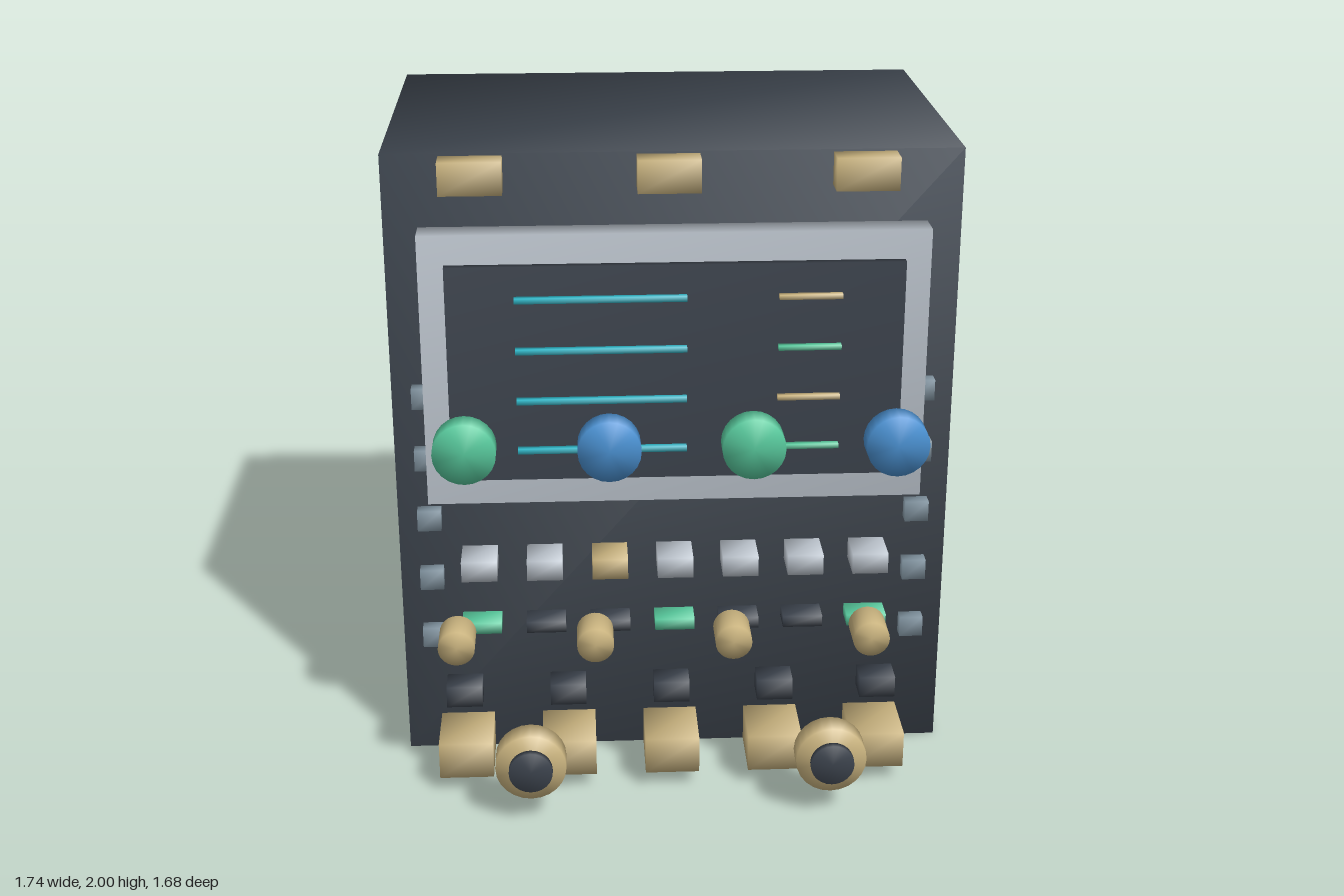
import * as THREE from 'three';
import { mergeVertices } from 'three/addons/utils/BufferGeometryUtils.js';

const mat = (name, color) => {
  const m = new THREE.MeshStandardMaterial({ color });
  m.name = name;
  return m;
};

// Weld corners so the shading runs smoothly over the edges
function soften(geometry) {
  geometry.deleteAttribute('normal');
  geometry.deleteAttribute('uv');
  const g = mergeVertices(geometry, 1e-4);
  g.computeVertexNormals();
  return g;
}

export function createModel() {
  const model = new THREE.Group();
  model.name = 'controlConsole';

  const charcoal = mat('charcoal', 0x434b55);
  const slate = mat('slate', 0x3c434d);
  const silver = mat('silver', 0xbcc4cd);
  const brass = mat('brass', 0xc9b37f);
  const green = mat('green', 0x57c79b);
  const blue = mat('blue', 0x4a90d0);
  const cyan = mat('cyan', 0x2fb5c6);
  const steel = mat('steel', 0x8497a4);

  const add = (name, geometry, material, x, y, z) => {
    const mesh = new THREE.Mesh(soften(geometry), material);
    mesh.name = name;
    mesh.position.set(x, y, z);
    model.add(mesh);
  };
  // Box centred on x, y and running from z0 (back) to z1 (front)
  const box = (name, material, x, y, w, h, z0, z1) =>
    add(name, new THREE.BoxGeometry(w, h, z1 - z0), material, x, y, (z0 + z1) / 2);
  // Disc facing forward
  const disc = (name, material, x, y, r, z0, z1) =>
    add(name, new THREE.CylinderGeometry(r, r, z1 - z0, 24).rotateX(Math.PI / 2),
      material, x, y, (z0 + z1) / 2);

  // Cabinet, bezel and screen
  box('cabinet', charcoal, 0, 1, 1.742, 2, -0.838, 0.322);
  box('bezel', silver, 0, 1.347, 1.534, 0.86, 0.315, 0.42);
  box('screen', slate, 0, 1.347, 1.376, 0.68, 0.41, 0.45);

  // Lines on the screen
  [1.588, 1.428, 1.268, 1.108].forEach((y, i) => {
    box('longScreenLine', cyan, -0.225, y, 0.515, 0.017, 0.45, 0.472);
    box('shortScreenLine', i % 2 ? green : brass, 0.403, y, 0.19, 0.015, 0.45, 0.472);
  });

  // Brackets along the top edge
  for (const x of [-0.602, -0.018, 0.567]) box('topBracket', brass, x, 1.95, 0.188, 0.1, 0.35, 0.435);

  // Tabs down both sides
  for (const x of [-0.771, 0.771])
    for (let i = 0; i < 5; i++) box('sideTab', steel, x, 0.424 + i * 0.205, 0.074, 0.067, 0.315, 0.366);

  // Coloured dials in front of the screen
  for (let i = 0; i < 4; i++)
    disc('screenDial', i % 2 ? blue : green, -0.637 + i * 0.43, 1.175, 0.095, 0.578, 0.653);

  // Row of buttons with indicator lamps below
  for (let i = 0; i < 7; i++) {
    const x = (i - 3) * 0.2055;
    box('button', i === 2 ? brass : silver, x, 0.694, 0.112, 0.067, 0.315, 0.45);
    box('indicatorLamp', i % 3 ? slate : green, x, 0.474, 0.126, 0.037, 0.315, 0.408);
  }

  // Small knobs
  for (let i = 0; i < 4; i++) disc('smallKnob', brass, -0.685 + i * 0.428, 0.525, 0.057, 0.525, 0.637);

  // Dark keys above large pads
  for (let i = 0; i < 5; i++) {
    const x = -0.67 + i * 0.326;
    box('key', slate, x, 0.32, 0.112, 0.069, 0.484, 0.573);
    box('pad', brass, x, 0.115, 0.17, 0.12, 0.414, 0.615);
  }

  // Large knobs with dark caps
  for (const x of [-0.462, 0.462]) {
    disc('largeKnob', brass, x, 0.2, 0.109, 0.732, 0.806);
    disc('knobCap', slate, x, 0.2, 0.067, 0.816, 0.838);
  }

  return model;
}
